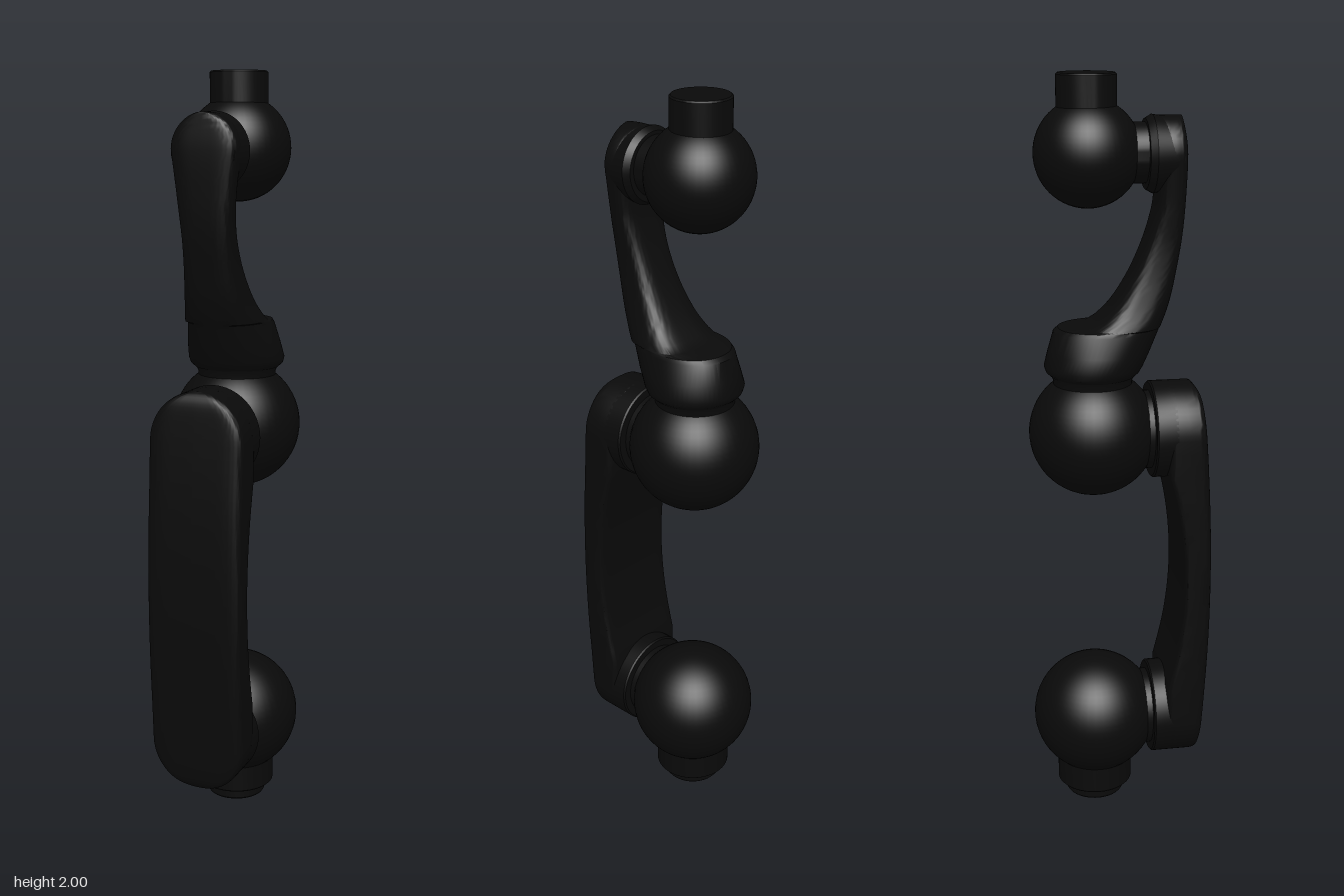
import * as THREE from 'three';
import { toCreasedNormals } from 'three/addons/utils/BufferGeometryUtils.js';

const material = new THREE.MeshStandardMaterial({ color: 0x0a0a0a });

function add(group, name, geometry, x = 0, y = 0, z = 0) {
  const mesh = new THREE.Mesh(geometry, material);
  mesh.name = name;
  mesh.position.set(x, y, z);
  group.add(mesh);
  return mesh;
}

// Turned part from [radius, height] points, with crisp edges
function turned(points) {
  const pts = points.map(([r, h]) => new THREE.Vector2(r, h));
  return toCreasedNormals(new THREE.LatheGeometry(pts, 48), 0.6);
}

// Smooth curve through [y, value] pairs
function curveAt(table, y) {
  const last = table.length - 1;
  let i = 0;
  while (i < last - 1 && y > table[i + 1][0]) i++;
  const slope = (k) => {
    const a = table[Math.max(k - 1, 0)], b = table[Math.min(k + 1, last)];
    return (b[1] - a[1]) / (b[0] - a[0]);
  };
  const [y0, v0] = table[i], [y1, v1] = table[i + 1];
  const h = y1 - y0, t = THREE.MathUtils.clamp((y - y0) / h, 0, 1);
  const t2 = t * t, t3 = t2 * t;
  return v0 * (2 * t3 - 3 * t2 + 1) + v1 * (3 * t2 - 2 * t3)
    + h * slope(i) * (t3 - 2 * t2 + t) + h * slope(i + 1) * (t3 - t2);
}

// Loft of rounded sections: y, half width, front z, back z, squareness of front and back
function loft(sections) {
  const n = 64, pos = [], index = [];
  const power = (v, e) => Math.sign(v) * Math.abs(v) ** (2 / e);
  for (const { y, w, front, back, nf, nb } of sections) {
    const mid = (front + back) / 2, depth = (front - back) / 2;
    for (let j = 0; j < n; j++) {
      const a = (j / n) * Math.PI * 2, e = Math.sin(a) >= 0 ? nf : nb;
      pos.push(w * power(Math.cos(a), e), y, mid + depth * power(Math.sin(a), e));
    }
  }
  const rows = sections.length;
  for (let i = 0; i < rows - 1; i++) for (let j = 0; j < n; j++) {
    const a = i * n + j, c = i * n + (j + 1) % n;
    index.push(a, a + n, c, c, a + n, c + n);
  }
  // End caps
  for (const [row, top] of [[0, false], [rows - 1, true]]) {
    const s = sections[row], centre = pos.length / 3;
    pos.push(0, s.y, (s.front + s.back) / 2);
    for (let j = 0; j < n; j++) {
      const a = row * n + j, b = row * n + (j + 1) % n;
      index.push(centre, top ? b : a, top ? a : b);
    }
  }
  const g = new THREE.BufferGeometry();
  g.setAttribute('position', new THREE.Float32BufferAttribute(pos, 3));
  g.setIndex(index);
  return toCreasedNormals(g, 0.6);
}

// Capsule-ended link joining the two large balls
function lowerLink() {
  const r = 0.13, y0 = 0.245, y1 = 1.075, mid = 0.66, sections = [];
  const section = (y, w, end) => sections.push({
    y, w, nf: 7, nb: 12,
    front: 0.238 - 0.028 * ((y - mid) / 0.545) ** 2 - 0.02 * end ** 10,
    back: Math.max(0.12, 0.165 - 0.04 * ((y - mid) / 0.29) ** 2),
  });
  for (let i = 0; i <= 14; i++) {
    const a = (i / 14) * Math.PI / 2;
    section(y0 - r * Math.cos(a), Math.max(0.008, r * Math.sin(a)), Math.cos(a));
  }
  for (let i = 1; i < 24; i++) section(y0 + (y1 - y0) * i / 24, r, 0);
  for (let i = 14; i >= 0; i--) {
    const a = (i / 14) * Math.PI / 2;
    section(y1 + r * Math.cos(a), Math.max(0.008, r * Math.sin(a)), Math.cos(a));
  }
  return loft(sections);
}

// Curved link that grows out of a round foot and ends in a round head
function upperLink() {
  const width = [[1.365, 0.102], [1.42, 0.086], [1.5, 0.072], [1.58, 0.067], [1.66, 0.072], [1.74, 0.081], [1.805, 0.09]];
  const front = [[1.25, 0.06], [1.34, 0.098], [1.42, 0.128], [1.52, 0.148], [1.6, 0.16], [1.685, 0.166], [1.805, 0.168], [1.9, 0.16]];
  const back = [[1.365, -0.085], [1.38, -0.06], [1.42, -0.02], [1.49, 0.025], [1.565, 0.06], [1.63, 0.083], [1.69, 0.096], [1.9, 0.096]];
  const sections = [
    { y: 1.235, w: 0.113, front: 0.045, back: -0.18, nf: 2, nb: 2 },
    { y: 1.245, w: 0.124, front: 0.055, back: -0.191, nf: 2, nb: 2 },
    { y: 1.26, w: 0.128, front: 0.064, back: -0.196, nf: 2, nb: 2 },
    { y: 1.3, w: 0.121, front: 0.082, back: -0.186, nf: 2.1, nb: 2 },
    { y: 1.352, w: 0.107, front: 0.103, back: -0.171, nf: 2.3, nb: 2.1 },
    { y: 1.362, w: 0.104, front: 0.107, back: -0.158, nf: 2.3, nb: 2.2 },
  ];
  const section = (y, w) => sections.push({
    y, w, front: curveAt(front, y), back: curveAt(back, y),
    nf: 2.4 + 1.6 * THREE.MathUtils.smoothstep(y, 1.365, 1.6), nb: 3.5,
  });
  for (let i = 0; i <= 30; i++) {
    const y = 1.365 + 0.44 * i / 30;
    section(y, curveAt(width, y));
  }
  for (let i = 1; i <= 14; i++) {
    const a = (i / 14) * Math.PI / 2;
    section(1.805 + 0.09 * Math.sin(a), Math.max(0.006, 0.09 * Math.cos(a)));
  }
  return loft(sections);
}

export function createModel() {
  const model = new THREE.Group();
  model.name = 'jointedArm';

  // Ball joints
  add(model, 'lowerBall', new THREE.SphereGeometry(0.171, 48, 32), 0, 0.243, -0.067);
  add(model, 'middleBall', new THREE.SphereGeometry(0.171, 48, 32), 0, 1.077, -0.067);
  add(model, 'upperBall', new THREE.SphereGeometry(0.137, 48, 32), 0, 1.805, -0.078);

  // Stepped base stem, top stem and neck under the upper link
  add(model, 'baseStem', turned([[0, 0], [0.077, 0], [0.08, 0.004], [0.08, 0.033], [0.1, 0.033], [0.104, 0.037], [0.104, 0.15]]), 0, 0, -0.069);
  add(model, 'topStem', turned([[0.076, 1.85], [0.076, 1.996], [0.072, 2], [0, 2]]), 0, 0, -0.08);
  add(model, 'neck', turned([[0.104, 1.18], [0.104, 1.222], [0.113, 1.24]]), 0, 0, -0.068);

  // Lower link with a round pad and collar at each large ball
  add(model, 'lowerLink', lowerLink());
  for (const y of [0.245, 1.075]) {
    const pad = add(model, 'lowerLinkPad', turned([[0, 0.083], [0.126, 0.083], [0.13, 0.087], [0.13, 0.14], [0, 0.14]]), 0, y);
    pad.rotation.x = Math.PI / 2;
    const collar = add(model, 'lowerLinkCollar', turned([[0.105, 0], [0.105, 0.09]]), 0, y);
    collar.rotation.x = Math.PI / 2;
  }

  // Upper link with its round head and collar at the upper ball
  add(model, 'upperLink', upperLink());
  const head = add(model, 'upperLinkHead', turned([[0, 0.064], [0.088, 0.068], [0.098, 0.085], [0.086, 0.155], [0, 0.165]]), 0, 1.8);
  head.rotation.x = Math.PI / 2;
  const collar = add(model, 'upperLinkCollar', turned([[0.076, 0], [0.076, 0.08]]), 0, 1.803);
  collar.rotation.x = Math.PI / 2;

  return model;
}
